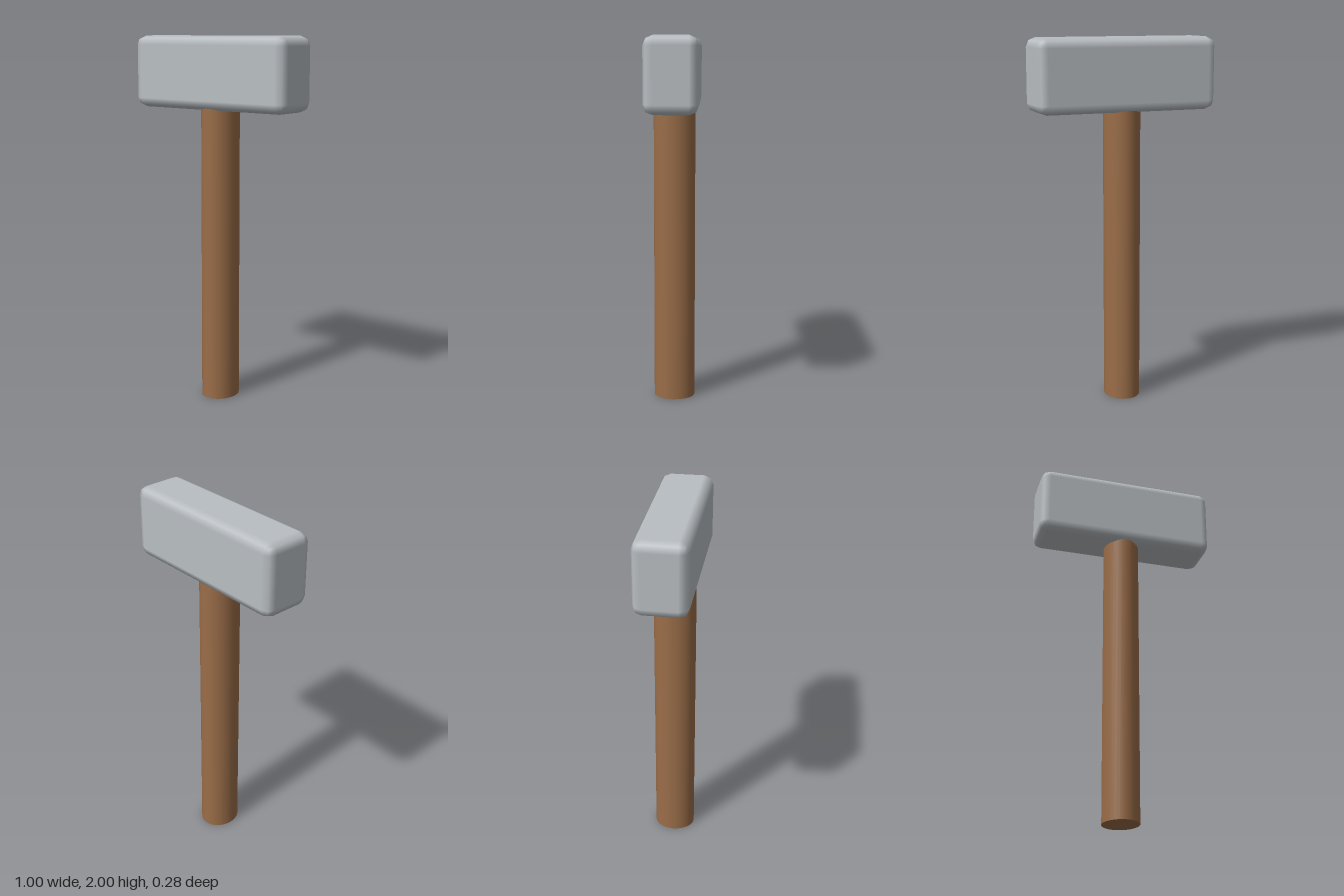
import * as THREE from 'three';
import { RoundedBoxGeometry } from 'three/addons/geometries/RoundedBoxGeometry.js';

export function createModel() {
  const steel = new THREE.MeshStandardMaterial({ color: 0xb9bec2 });
  steel.name = 'steel grey';
  const wood = new THREE.MeshStandardMaterial({ color: 0x9a6d48 });
  wood.name = 'wood brown';

  const hammer = new THREE.Group();
  hammer.name = 'hammer';

  // Block head with softly bevelled edges
  const head = new THREE.Mesh(new RoundedBoxGeometry(1, 0.39, 0.28, 1, 0.05), steel);
  head.name = 'head';
  head.position.y = 1.805;

  // Slightly oval handle, running up into the head
  const top = 1.7;
  const handleGeometry = new THREE.CylinderGeometry(0.1, 0.1, top, 32);
  handleGeometry.scale(0.985, 1, 1.13);
  const handle = new THREE.Mesh(handleGeometry, wood);
  handle.name = 'handle';
  handle.position.y = top / 2;

  hammer.add(head, handle);
  return hammer;
}
